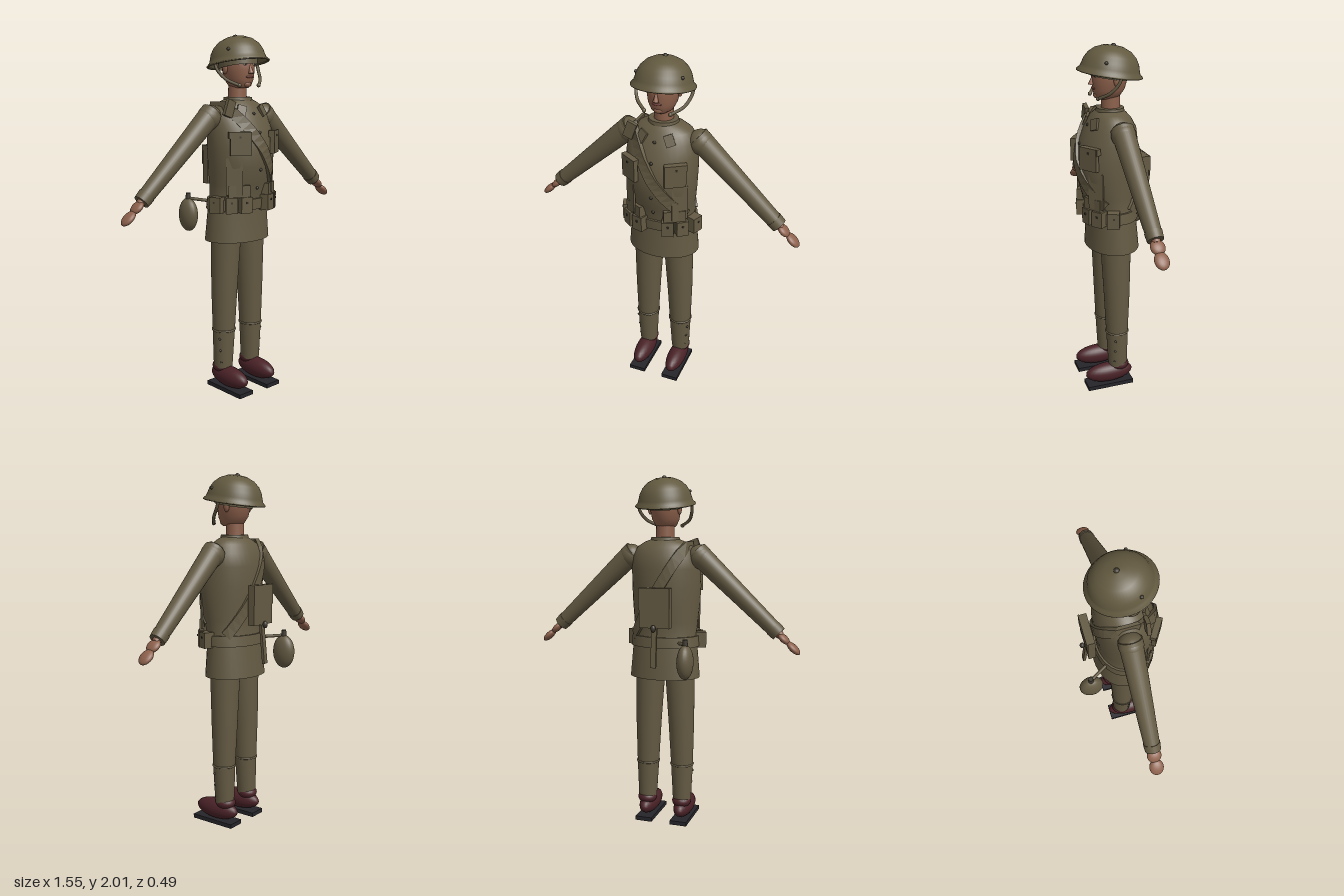
import * as THREE from 'three';

const mat = (name, color, side = THREE.FrontSide) =>
  Object.assign(new THREE.MeshStandardMaterial({ color, side }), { name });

// Jacket cross-sections: height, half width, half depth, centre z
const JACKET = [
  [0.88, 0.205, 0.15, 0.04], [1.05, 0.19, 0.137, 0.043], [1.13, 0.182, 0.135, 0.05],
  [1.2, 0.186, 0.148, 0.06], [1.3, 0.195, 0.165, 0.068], [1.4, 0.2, 0.17, 0.07],
  [1.5, 0.198, 0.158, 0.058], [1.57, 0.188, 0.135, 0.045], [1.62, 0.16, 0.108, 0.045],
  [1.645, 0.12, 0.085, 0.045], [1.66, 0.08, 0.07, 0.045],
];

export function createModel() {
  const root = new THREE.Group();
  root.name = 'soldier';
  const olive = mat('olive cloth', 0x645a43, THREE.DoubleSide);
  const helmetGreen = mat('helmet olive', 0x62593f, THREE.DoubleSide);
  const skin = mat('skin', 0x8c604b);
  const leather = mat('shoe leather', 0x4a2227);
  const black = mat('sole black', 0x25252a);
  const metal = mat('dark metal', 0x3d382e);
  const lipRed = mat('lips', 0x74403a);
  const eyeWhite = mat('eye white', 0xb5a898);

  const add = (name, geo, m, x = 0, y = 0, z = 0, parent = root) => {
    const mesh = new THREE.Mesh(geo, m);
    mesh.name = name;
    mesh.position.set(x, y, z);
    parent.add(mesh);
    return mesh;
  };
  const box = (name, w, h, d, m, x, y, z) => add(name, new THREE.BoxGeometry(w, h, d), m, x, y, z);
  const ball = (name, rx, ry, rz, m, x, y, z) => {
    const b = add(name, new THREE.SphereGeometry(1, 24, 16), m, x, y, z);
    b.scale.set(rx, ry, rz);
    return b;
  };

  // Skin elliptical rings [y, rx, rz, cz, cx], bottom to top
  const loft = (rows, capBottom, capTop, n = 36) => {
    const list = [...rows], first = rows[0], last = rows[rows.length - 1];
    const closed = (r) => [r[0], 0, 0, r[3], r[4]];
    if (capBottom) list.unshift(closed(first), first);
    if (capTop) list.push(last, closed(last));
    const pos = [], idx = [];
    list.forEach(([y, rx, rz, cz, cx = 0], i) => {
      for (let j = 0; j < n; j++) {
        const t = (j / n) * Math.PI * 2;
        pos.push(cx + rx * Math.sin(t), y, cz + rz * Math.cos(t));
        if (i === list.length - 1) continue;
        const a = i * n + j, b = i * n + (j + 1) % n;
        idx.push(a, b, a + n, b, b + n, a + n);
      }
    });
    const g = new THREE.BufferGeometry();
    g.setAttribute('position', new THREE.Float32BufferAttribute(pos, 3));
    g.setIndex(idx);
    g.computeVertexNormals();
    return g;
  };

  // Tapered round bar between two points
  const rod = (name, a, b, ra, rb, m) => {
    const dir = b.clone().sub(a);
    const r = add(name, new THREE.CylinderGeometry(rb, ra, dir.length(), 28), m);
    r.position.copy(a).lerp(b, 0.5);
    r.quaternion.setFromUnitVectors(new THREE.Vector3(0, 1, 0), dir.normalize());
    return r;
  };

  // Point and outward direction on the jacket
  const surface = (x, y, side = 1) => {
    let i = 0;
    while (i < JACKET.length - 2 && JACKET[i + 1][0] < y) i++;
    const p = JACKET[i], q = JACKET[i + 1], t = (y - p[0]) / (q[0] - p[0]);
    const [rx, rz, cz] = [1, 2, 3].map((k) => p[k] + (q[k] - p[k]) * t);
    const cx = THREE.MathUtils.clamp(x, -rx * 0.99, rx * 0.99);
    const dz = side * rz * Math.sqrt(1 - (cx / rx) ** 2);
    return {
      p: new THREE.Vector3(cx, y, cz + dz),
      n: new THREE.Vector3(cx / rx ** 2, 0, dz / rz ** 2).normalize(),
    };
  };
  const onJacket = (name, x, y, w, h, d, m = olive, side = 1, lift = 0) => {
    const s = surface(x, y, side), b = box(name, w, h, d, m, 0, 0, 0);
    b.position.copy(s.p).addScaledVector(s.n, lift);
    b.rotation.y = Math.atan2(s.n.x, s.n.z);
    return b;
  };

  // Jacket, collar and belt
  add('jacket', loft(JACKET, false, true), olive);
  add('collar', loft([[1.64, 0.088, 0.08, 0.045], [1.672, 0.08, 0.074, 0.045]], false, true), olive);
  add('belt', loft([[1.06, 0.2, 0.147, 0.045], [1.12, 0.195, 0.147, 0.05]], true, true), olive);
  for (const y of [1.585, 1.485, 1.395, 1.283, 1.18]) {
    const s = surface(0, y);
    ball('jacketButton', 0.009, 0.009, 0.006, metal, 0, y, s.p.z + 0.002);
  }

  // Shoulder strap wrapped around the jacket
  const path = [];
  for (let i = 0; i <= 14; i++) path.push(surface(0.16 - i * 0.0215, 1.16 + i * 0.0329));
  for (let i = 0; i <= 14; i++) path.push(surface(-0.141 + i * 0.0215, 1.62 - i * 0.0357, -1));
  const pos = [], idx = [];
  path.forEach((s, i) => {
    const tan = path[Math.min(i + 1, path.length - 1)].p.clone().sub(path[Math.max(i - 1, 0)].p);
    const across = tan.cross(s.n).normalize();
    for (const [w, o] of [[-0.03, -0.01], [-0.03, 0.012], [0.03, 0.012], [0.03, -0.01]]) {
      pos.push(...s.p.clone().addScaledVector(across, w).addScaledVector(s.n, o));
    }
    if (i) for (let j = 0; j < 4; j++) {
      const a = (i - 1) * 4 + j, b = (i - 1) * 4 + (j + 1) % 4;
      idx.push(a, b, a + 4, b, b + 4, a + 4);
    }
  });
  const bandIndexed = new THREE.BufferGeometry();
  bandIndexed.setAttribute('position', new THREE.Float32BufferAttribute(pos, 3));
  bandIndexed.setIndex(idx);
  const band = bandIndexed.toNonIndexed();
  band.computeVertexNormals();
  add('shoulderStrap', band, olive);
  const pad = box('strapPad', 0.055, 0.09, 0.022, olive, -0.15, 1.615, 0.14);
  pad.rotation.z = -0.35;

  // Head and face
  add('neck', new THREE.CylinderGeometry(0.05, 0.052, 0.12, 24), skin, 0, 1.71, 0.042);
  add('head', loft([
    [1.72, 0.035, 0.045, 0.07], [1.735, 0.058, 0.07, 0.06], [1.77, 0.075, 0.088, 0.053],
    [1.82, 0.084, 0.097, 0.048], [1.88, 0.086, 0.1, 0.045], [1.94, 0.06, 0.07, 0.045],
  ], true, true), skin);
  const nose = add('nose', new THREE.ConeGeometry(0.016, 0.055, 12), skin, 0, 1.825, 0.146);
  nose.rotation.x = -0.2;
  ball('lips', 0.026, 0.007, 0.008, lipRed, 0, 1.78, 0.138);
  ball('chin', 0.025, 0.018, 0.018, skin, 0, 1.742, 0.12);

  // Helmet, tilted back
  const helmet = new THREE.Group();
  helmet.name = 'helmet';
  helmet.position.set(0, 1.855, 0.046);
  helmet.rotation.x = -0.16;
  helmet.scale.z = 1.07;
  root.add(helmet);
  const dome = [[0.164, -0.008], [0.167, 0], [0.154, 0.012], [0.148, 0.03], [0.14, 0.06],
    [0.122, 0.092], [0.092, 0.12], [0.05, 0.139], [0, 0.145]].map((p) => new THREE.Vector2(...p));
  add('helmetShell', new THREE.LatheGeometry(dome, 48), helmetGreen, 0, 0, 0, helmet);
  const rim = add('helmetRim', new THREE.TorusGeometry(0.164, 0.005, 8, 48), helmetGreen, 0, -0.004, 0, helmet);
  rim.rotation.x = Math.PI / 2;
  add('liner', new THREE.CylinderGeometry(0.105, 0.105, 0.035, 32, 1, true), olive, 0, -0.005, 0, helmet);
  add('topRivet', new THREE.SphereGeometry(0.014, 12, 8), metal, 0, 0.14, 0, helmet);

  for (const s of [1, -1]) {
    const v = (x, y, z) => new THREE.Vector3(s * x, y, z);

    // Facial details and chin straps
    ball('eye', 0.014, 0.007, 0.006, eyeWhite, s * 0.034, 1.848, 0.137);
    ball('pupil', 0.006, 0.006, 0.004, metal, s * 0.034, 1.848, 0.142);
    const brow = box('eyebrow', 0.036, 0.006, 0.008, metal, s * 0.035, 1.865, 0.136);
    brow.rotation.y = s * 0.35;
    ball('ear', 0.012, 0.03, 0.018, skin, s * 0.086, 1.825, 0.035);
    const curve = new THREE.CatmullRomCurve3([
      v(0.158, 1.848, 0.035), v(0.153, 1.815, 0.05), v(0.128, 1.768, 0.09), v(0.072, 1.735, 0.135)]);
    add('chinStrap', new THREE.TubeGeometry(curve, 20, 0.009, 8), olive);
    ball('chinStrapEnd', 0.011, 0.011, 0.011, olive, s * 0.072, 1.735, 0.135);
    add('sideRivet', new THREE.SphereGeometry(0.009, 10, 8), metal, s * 0.125, 0.06, 0.065, helmet);

    // Sleeves and hands
    const top = v(0.185, 1.59, 0.04), wrist = v(0.645, 1.165, 0.035);
    const dir = wrist.clone().sub(top).normalize();
    const at = (d) => wrist.clone().addScaledVector(dir, d);
    ball('shoulder', 0.068, 0.068, 0.066, olive, s * 0.205, 1.565, 0.04);
    rod('sleeve', top, wrist, 0.063, 0.042, olive);
    rod('cuff', at(-0.03), at(0.015), 0.046, 0.043, olive);
    rod('wrist', wrist, at(0.03), 0.026, 0.022, skin);
    for (const [name, d, l] of [['palm', 0.052, 0.042], ['fingers', 0.125, 0.048]]) {
      const p = at(d), h = ball(name, 0.02, l, 0.039, skin, p.x, p.y, p.z);
      h.quaternion.setFromUnitVectors(new THREE.Vector3(0, 1, 0), dir);
    }

    // Trousers with garters and side buttons
    add('trouserLeg', loft([
      [0.13, 0.053, 0.056, 0.038, s * 0.107], [0.35, 0.064, 0.064, 0.042, s * 0.105],
      [0.6, 0.074, 0.075, 0.042, s * 0.1], [0.95, 0.087, 0.088, 0.045, s * 0.088],
    ], true, true), olive);
    const garter = add('garter', new THREE.TorusGeometry(0.064, 0.006, 8, 32), olive, s * 0.105, 0.355, 0.042);
    garter.rotation.x = Math.PI / 2;
    for (const y of [0.31, 0.24, 0.17]) {
      ball('legButton', 0.007, 0.007, 0.007, metal, s * (0.131 + y * 0.1), y, 0.07);
    }

    // Shoes
    ball('shoe', 0.054, 0.059, 0.144, leather, s * 0.107, 0.08, 0.093);
    ball('shoeAnkle', 0.056, 0.038, 0.058, leather, s * 0.107, 0.13, 0.03);
    box('sole', 0.1, 0.024, 0.28, black, s * 0.107, 0.012, 0.095);

    // Collar tabs, chest pockets, ammunition pouches
    const tab = onJacket('collarTab', s * 0.075, 1.6, 0.05, 0.062, 0.014, olive, 1, 0.006);
    tab.rotation.z = s * 0.45;
    tab.rotation.x = -0.4;
    onJacket('chestPocket', s * 0.122, 1.43, 0.115, 0.125, 0.024, olive, 1, 0.01);
    onJacket('pocketFlap', s * 0.122, 1.475, 0.118, 0.035, 0.03, olive, 1, 0.012);
    onJacket('pocketButton', s * 0.122, 1.465, 0.01, 0.01, 0.006, metal, 1, 0.029);
    onJacket('skirtPocket', s * 0.14, 1.25, 0.09, 0.2, 0.012, olive, 1, 0.002);
    for (const x of [0.075, 0.135, 0.178]) {
      onJacket('ammoPouch', s * x, 1.095, 0.066, 0.088, 0.06, olive, 1, 0.02);
      onJacket('pouchStud', s * x, 1.11, 0.01, 0.01, 0.006, metal, 1, 0.052);
    }
    onJacket('upperPouch', s * 0.11, 1.17, 0.12, 0.065, 0.04, olive, 1, 0.005);
  }

  // Satchel, tool handle and canteen at the back
  box('satchel', 0.175, 0.22, 0.042, olive, 0, 1.29, -0.134);
  box('satchelFlap', 0.18, 0.11, 0.008, olive, 0, 1.346, -0.155);
  const handle = box('toolHandle', 0.03, 0.24, 0.016, olive, 0, 1.08, -0.155);
  handle.rotation.x = 0.1;
  ball('toolKnob', 0.014, 0.02, 0.014, metal, 0, 1.18, -0.168);
  ball('canteen', 0.045, 0.096, 0.068, olive, -0.185, 1.005, -0.172);
  add('canteenNeck', new THREE.CylinderGeometry(0.013, 0.016, 0.04, 16), metal, -0.185, 1.11, -0.172);
  rod('canteenStrap', new THREE.Vector3(-0.12, 1.09, -0.07), new THREE.Vector3(-0.185, 1.1, -0.172), 0.009, 0.009, olive);
  return root;
}
